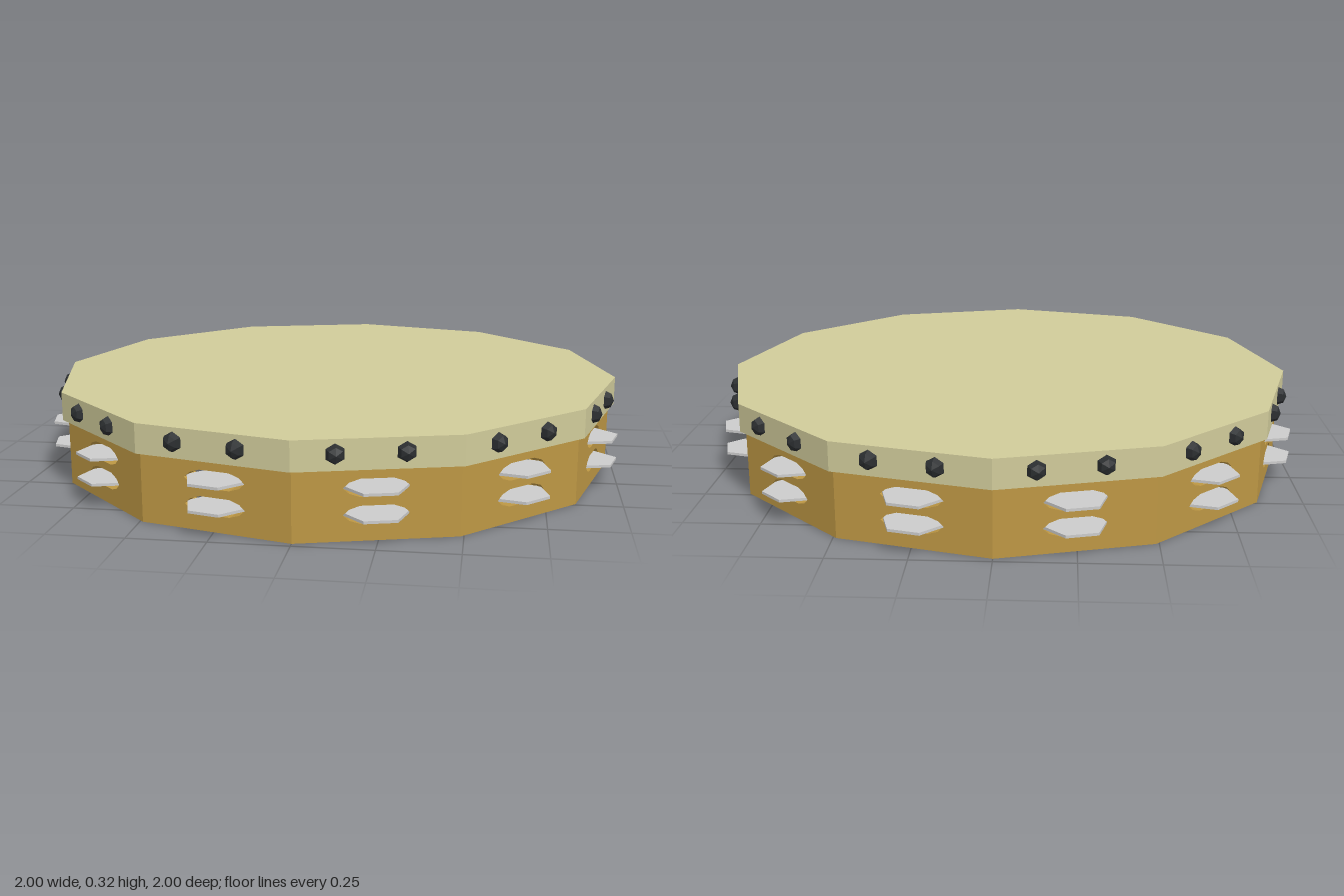
import * as THREE from 'three';

const SIDES = 12;
const HALF = Math.PI / SIDES;              // half the angle of one side
const OUTER = 0.98 * Math.cos(HALF);       // flat-to-centre distance, outside of frame
const INNER = 0.91 * Math.cos(HALF);       // and inside of frame
const FRAME_TOP = 0.31;
const SLOPE = 0.02;                        // rise of the rims between outside and inside
const SLOT_Y = [0.081, 0.164];

const mat = (color) => new THREE.MeshStandardMaterial({ color, flatShading: true });

function add(parent, name, geometry, material, x = 0, y = 0, z = 0) {
  const mesh = new THREE.Mesh(geometry, material);
  mesh.name = name;
  mesh.position.set(x, y, z);
  parent.add(mesh);
}

// One wall panel with two slots, mitred to meet its neighbours
function panelGeometry() {
  const w = OUTER * Math.tan(HALF);
  const shape = new THREE.Shape([
    new THREE.Vector2(-w, 0), new THREE.Vector2(w, 0),
    new THREE.Vector2(w, FRAME_TOP), new THREE.Vector2(-w, FRAME_TOP),
  ]);
  // Lens-shaped slots, listed clockwise
  const slot = [
    [-0.102, 0], [-0.083, 0.017], [-0.05, 0.028], [0.05, 0.028], [0.083, 0.017],
    [0.102, 0], [0.083, -0.017], [0.05, -0.028], [-0.05, -0.028], [-0.083, -0.017],
  ];
  for (const y of SLOT_Y) {
    shape.holes.push(new THREE.Path(slot.map(([a, b]) => new THREE.Vector2(a, y + b))));
  }
  const geo = new THREE.ExtrudeGeometry(shape, { depth: OUTER - INNER, bevelEnabled: false });
  geo.translate(0, 0, INNER);
  const p = geo.attributes.position;
  for (let i = 0; i < p.count; i++) {
    const x = p.getX(i), y = p.getY(i), z = p.getZ(i);
    if (Math.abs(x) > w - 0.01) {
      p.setX(i, Math.sign(x) * z * Math.tan(HALF));
      // Both rims are bevelled towards the inside
      if (z < INNER + 0.01) p.setY(i, y < 0.1 ? SLOPE : FRAME_TOP - SLOPE);
    }
  }
  geo.computeVertexNormals();
  return geo;
}

export function createModel() {
  const model = new THREE.Group();
  model.name = 'tambourine';

  const wood = mat(0xbd9744);
  const hide = mat(0xd0cb9a);
  hide.side = THREE.DoubleSide;
  const metal = mat(0xcccccc);
  const black = mat(0x2c2f31);

  // Thin drum skin folded down over the rim
  const profile = [[1, 0.224], [1, 0.32], [0, 0.32]];
  add(model, 'skin', new THREE.LatheGeometry(profile.map(([r, y]) => new THREE.Vector2(r, y)), SIDES), hide);

  const panel = panelGeometry();
  // Thin hexagonal jingle with a flat edge facing outwards
  const jingle = new THREE.CylinderGeometry(0.102, 0.102, 0.009, 6);
  jingle.rotateY(Math.PI / 2);
  // Faceted tack, its pole pointing outwards
  const stud = new THREE.SphereGeometry(0.034, 6, 4);
  stud.rotateY(Math.PI / 6);
  stud.rotateX(Math.PI / 2);

  for (let i = 0; i < SIDES; i++) {
    const side = new THREE.Group();
    side.name = 'side' + (i + 1);
    side.rotation.y = (2 * i + 1) * HALF;
    add(side, 'framePanel', panel, wood);
    for (const y of SLOT_Y) add(side, 'jingle', jingle, metal, 0, y, 0.93);
    for (const x of [-0.127, 0.084]) add(side, 'stud', stud, black, x, 0.275, 0.961);
    model.add(side);
  }
  return model;
}
